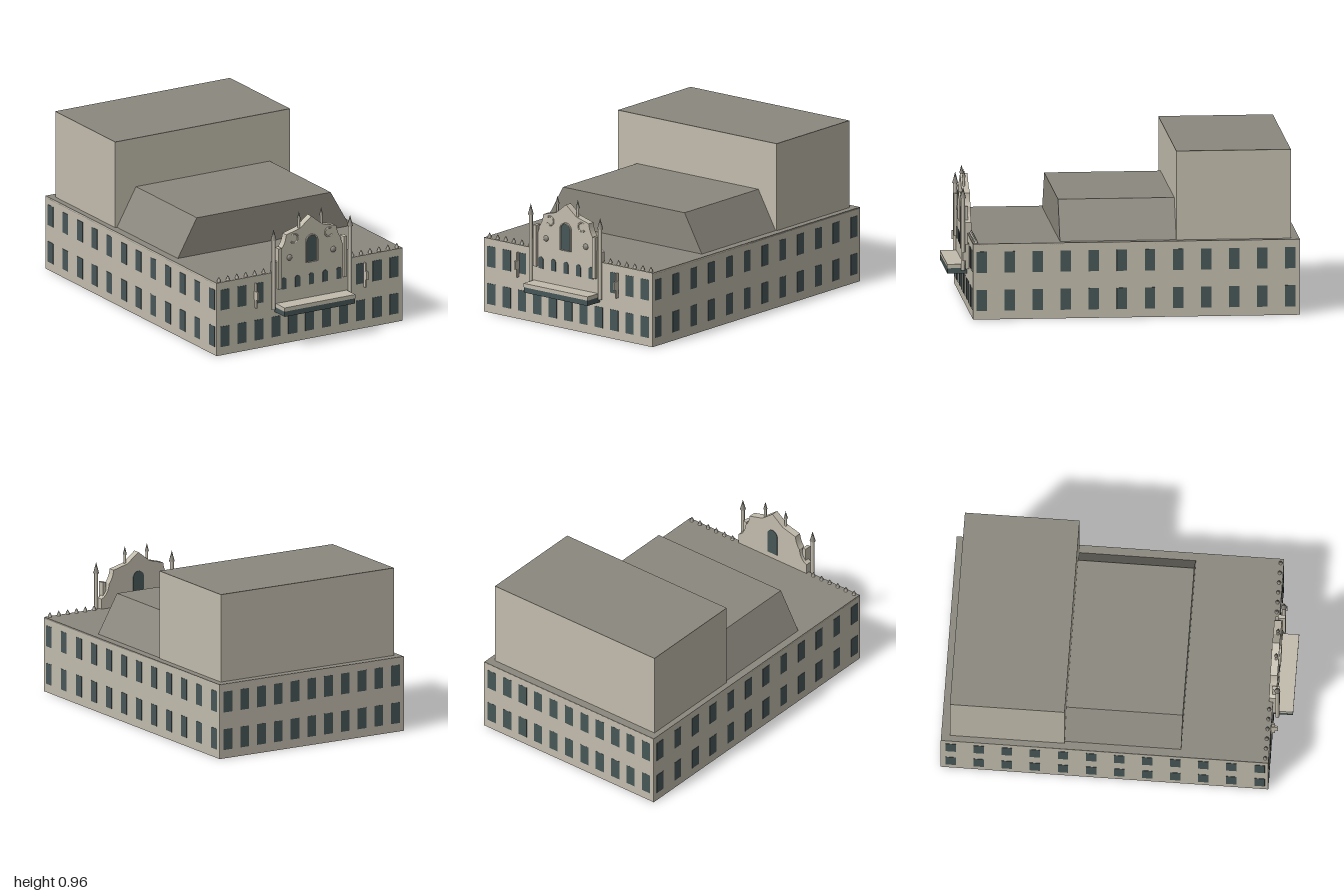
import * as THREE from 'three';

const mat = (name, color) => {
  const m = new THREE.MeshStandardMaterial({ color });
  m.name = name;
  return m;
};

export function createModel() {
  const stone = mat('stone', 0xc2bcad);
  const roofing = mat('roofing', 0x8b887e);
  const glass = mat('glass', 0x475657);
  const root = new THREE.Group();

  const add = (name, geo, material, x = 0, y = 0, z = 0) => {
    const m = new THREE.Mesh(geo, material);
    m.name = name;
    m.position.set(x, y, z);
    root.add(m);
    return m;
  };
  // Box given by its limits on each axis
  const block = (name, material, x0, x1, y0, y1, z0, z1) => add(name,
    new THREE.BoxGeometry(x1 - x0, y1 - y0, z1 - z0), material, (x0 + x1) / 2, (y0 + y1) / 2, (z0 + z1) / 2);
  const extrude = (shape, depth) => new THREE.ExtrudeGeometry(shape, { depth, bevelEnabled: false, curveSegments: 8 });

  const W = 0.625, F = 0.885, B = -1, H = 0.44, T = 0.012;

  // Hollow main building, open underneath
  block('frontWall', stone, -W, W, 0, H - 0.01, F - T, F);
  block('backWall', stone, -W, W, 0, H - 0.01, B, B + T);
  for (const s of [-1, 1]) {
    const x = s * (W - T / 2);
    block('sideWall', stone, x - T / 2, x + T / 2, 0, H - 0.01, B + T, F - T);
  }
  block('roofEdge', stone, -W, W, H - 0.01, H - 0.002, B, F);
  block('flatRoof', roofing, -W, W, H - 0.012, H, B + 0.001, F - 0.001);

  // Windows reach through the walls so they also show inside
  const rows = [[0.05, 0.173], [0.272, 0.395]], e = 0.002;
  rows.forEach(([y0, y1], row) => {
    for (let i = -5; i <= 5; i++) {
      const x = i * 0.1137;
      block('backWindow', glass, x - 0.03, x + 0.03, y0, y1, B - 0.0005, B + T + e);
      if (row === 0 || Math.abs(i) > 2)
        block('frontWindow', glass, x - 0.03, x + 0.03, y0, y1, F - T - e, F + e);
    }
    for (let i = 0; i < 12; i++) {
      const z = 0.835 - i * 0.1616;
      for (const s of [-1, 1]) {
        const x = s * (W - T / 2);
        block('sideWindow', glass, x - T / 2 - e, x + T / 2 + e, y0, y1, z - 0.03, z + 0.03);
      }
    }
  });

  // Rear tower block and its roof
  block('towerBlock', stone, -0.59, 0.585, H, 0.954, -0.95, -0.29);
  block('towerRoof', roofing, -0.59, 0.585, 0.954, 0.958, -0.95, -0.29);

  // Middle roof with sloping ends
  const slope = new THREE.Shape([[-0.578, H], [0.578, H], [0.45, 0.664], [-0.45, 0.664]]
    .map(p => new THREE.Vector2(...p)));
  add('slopedRoof', extrude(slope, 0.67), roofing, 0, 0, -0.29);

  // Stepped gable
  const g = new THREE.Shape();
  g.moveTo(-0.25, 0.255);
  g.lineTo(0.25, 0.255);
  g.lineTo(0.25, 0.5);
  g.quadraticCurveTo(0.205, 0.52, 0.198, 0.585);
  g.quadraticCurveTo(0.175, 0.61, 0.168, 0.66);
  g.lineTo(0.075, 0.685);
  g.lineTo(0, 0.745);
  g.lineTo(-0.075, 0.685);
  g.lineTo(-0.168, 0.66);
  g.quadraticCurveTo(-0.175, 0.61, -0.198, 0.585);
  g.quadraticCurveTo(-0.205, 0.52, -0.25, 0.5);
  g.closePath();
  const GZ = 0.905;
  add('gable', extrude(g, GZ - 0.862), stone, 0, 0, 0.862);

  // Round-headed windows, the big one showing on both faces
  const arch = (r, h) => {
    const s = new THREE.Shape();
    s.moveTo(-r, 0);
    s.lineTo(r, 0);
    s.lineTo(r, h - r);
    s.absarc(0, h - r, r, 0, Math.PI);
    s.closePath();
    return s;
  };
  const frame = arch(0.041, 0.166);
  frame.holes.push(arch(0.034, 0.159));
  add('archFrame', extrude(frame, 0.012), stone, 0, 0.472, GZ - 0.002);
  add('archWindow', extrude(arch(0.036, 0.16), GZ - 0.862 + 0.006), glass, 0, 0.474, 0.859);
  for (let i = -2; i <= 2; i++)
    add('smallArchWindow', extrude(arch(0.017, 0.07), 0.006), glass, i * 0.0925, 0.335, GZ - 0.003);

  // Pinnacle: shaft with a pointed cap
  const pinnacle = (x, z, r, y0, y1, top) => {
    add('pinnacleShaft', new THREE.CylinderGeometry(r, r, y1 - y0, 8), stone, x, (y0 + y1) / 2, z);
    add('pinnacleCap', new THREE.ConeGeometry(r * 1.5, top - y1, 8), roofing, x, (y1 + top) / 2, z);
  };

  for (const s of [-1, 1]) {
    pinnacle(s * 0.257, 0.91, 0.0115, 0.225, 0.645, 0.71);
    pinnacle(s * 0.075, 0.89, 0.008, 0.67, 0.735, 0.783);
    block('pilaster', stone, s * 0.219 - 0.011, s * 0.219 + 0.011, 0.345, 0.59, 0.88, 0.922);
    add('medallion', new THREE.SphereGeometry(0.018, 12, 8), roofing, s * 0.147, 0.52, GZ).scale.z = 0.6;

    // Curled scroll opening outward
    const scroll = add('scroll', new THREE.TorusGeometry(0.026, 0.005, 6, 18, Math.PI * 1.5), stone, s * 0.117, 0.63, GZ + 0.002);
    scroll.rotation.z = s > 0 ? Math.PI * 0.3 : -Math.PI * 0.8;

    // Projecting bracket plates on the wall
    block('bracketPlate', stone, s * 0.367 - 0.004, s * 0.367 + 0.004, 0.25, 0.397, F, 0.905);
    block('bracketArm', stone, s * 0.367 - 0.006, s * 0.367 + 0.006, 0.3, 0.35, F, 0.922);

    // Small roof-edge finials
    for (let i = 0; i < 6; i++) {
      const x = s * (0.298 + i * 0.06);
      add('finialBase', new THREE.CylinderGeometry(0.009, 0.011, 0.012, 8), stone, x, H + 0.006, 0.866);
      add('finialTip', new THREE.ConeGeometry(0.011, 0.02, 8), roofing, x, H + 0.02, 0.866);
    }
  }

  // Balcony with a dark band below its slab
  block('balconySlab', stone, -0.238, 0.238, 0.234, 0.257, 0.861, 1);
  block('balconyBand', glass, -0.236, 0.236, 0.202, 0.234, 0.861, 0.998);
  return root;
}
